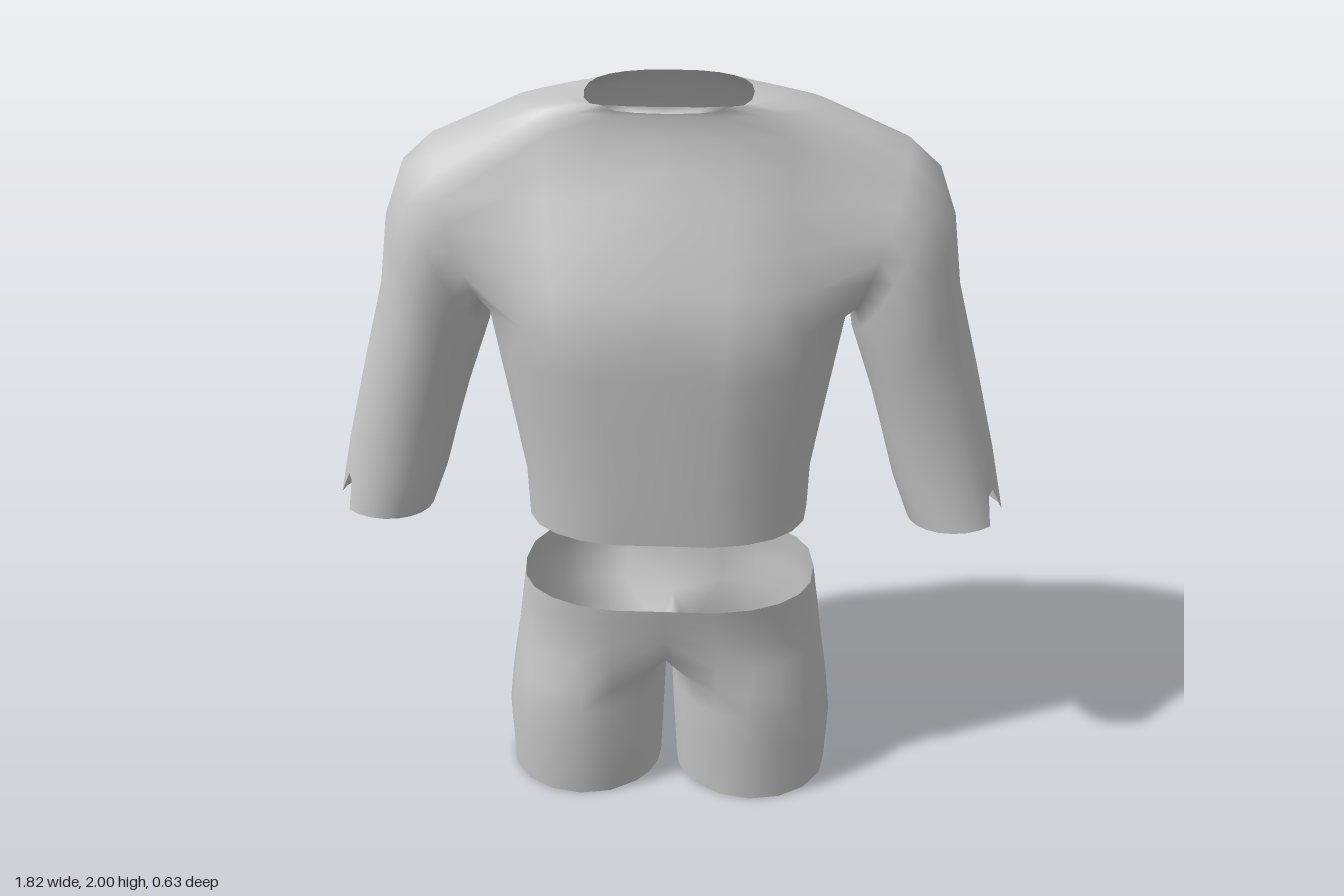
import * as THREE from 'three';
import { mergeGeometries, mergeVertices } from 'three/addons/utils/BufferGeometryUtils.js';

const SEG = 12; // columns of a half ring, from back centre round the side to front centre

// Collects points and joins rows of them with quads
function sheet() {
  const pos = [], idx = [];
  return {
    pos, idx,
    add(x, y, z) { pos.push(x, y, z); return pos.length / 3 - 1; },
    strip(lower, upper, closed = false, skip = () => false) {
      const n = lower.length;
      for (let j = 0; j < (closed ? n : n - 1); j++) {
        if (skip(j)) continue;
        const k = (j + 1) % n;
        idx.push(lower[j], upper[j], upper[k], lower[j], upper[k], lower[k]);
      }
    },
  };
}

// Mirrors the left half, welds both halves and smooths them
function mirrored(s) {
  const half = (sign) => {
    const g = new THREE.BufferGeometry();
    g.setAttribute('position', new THREE.Float32BufferAttribute(s.pos.map((v, i) => (i % 3 ? v : v * sign)), 3));
    g.setIndex(sign > 0 ? s.idx : [...s.idx].reverse());
    return g;
  };
  const g = mergeVertices(mergeGeometries([half(1), half(-1)]), 1e-4);
  g.computeVertexNormals();
  return g;
}

// Rounded-box half ring with grooves down the front and back centre
function halfRing(s, [y, w, front, back, frontGroove, backGroove]) {
  const soft = (v) => Math.sign(v) * Math.abs(v) ** 0.8;
  const ids = [];
  for (let j = 0; j <= SEG; j++) {
    const a = (j / SEG - 0.5) * Math.PI;
    const x = j % SEG ? w * soft(Math.cos(a)) : 0;
    const mid = (front + back) / 2, sn = soft(Math.sin(a));
    let z = mid + sn * (front - back) / 2;
    const dip = Math.exp(-((x / 0.1) ** 2));
    z -= dip * (sn > 0 ? frontGroove : -backGroove);
    ids.push(s.add(x, y, z));
  }
  return ids;
}

function shirtGeometry() {
  const s = sheet();
  // height, half width, front z, back z, front groove, back groove
  const rows = [
    [0.86, 0.38, 0.285, -0.24, 0.01, 0.0],
    [1.0, 0.385, 0.295, -0.255, 0.01, 0.02],
    [1.2, 0.42, 0.31, -0.285, 0.015, 0.03],
    [1.34, 0.445, 0.32, -0.3, 0.02, 0.035],
    [1.45, 0.465, 0.322, -0.31, 0.02, 0.04],
    [1.55, 0.485, 0.29, -0.32, 0.02, 0.04],
    [1.65, 0.51, 0.245, -0.325, 0.01, 0.04],
    [1.75, 0.53, 0.2, -0.31, 0, 0.03],
    [1.83, 0.53, 0.165, -0.285, 0, 0.02],
    [1.905, 0.5, 0.145, -0.245, 0, 0.01],
    [1.955, 0.39, 0.14, -0.215, 0, 0],
    [1.98, 0.28, 0.15, -0.195, 0, 0],
    [1.985, 0.21, 0.17, -0.18, 0, 0],
  ].map((r) => halfRing(s, r));
  // Neckline rises a little toward the back
  rows[12].forEach((id) => { s.pos[id * 3 + 1] = 1.984 - s.pos[id * 3 + 2] * 0.089; });

  // Body, leaving an armhole in the side
  const lo = 4, hi = 9, c0 = 3, c1 = 9;
  for (let i = 0; i < rows.length - 1; i++) {
    s.strip(rows[i], rows[i + 1], false, (j) => i >= lo && i < hi && j >= c0 && j < c1);
  }

  // Armhole edge, from the top round the front to the back
  let ring = [];
  for (let j = 6; j <= c1; j++) ring.push(rows[hi][j]);
  for (let i = hi - 1; i >= lo; i--) ring.push(rows[i][c1]);
  for (let j = c1 - 1; j >= c0; j--) ring.push(rows[lo][j]);
  for (let i = lo + 1; i <= hi; i++) ring.push(rows[i][c0]);
  for (let j = c0 + 1; j < 6; j++) ring.push(rows[hi][j]);

  // Sleeve: outer x, y, inner x, y, front z, back z
  const sleeve = [
    [0.6, 1.87, 0.472, 1.42, 0.165, -0.235],
    [0.68, 1.8, 0.48, 1.37, 0.175, -0.24],
    [0.725, 1.68, 0.505, 1.3, 0.18, -0.23],
    [0.75, 1.5, 0.54, 1.2, 0.165, -0.19],
    [0.81, 1.28, 0.57, 1.1, 0.15, -0.135],
    [0.87, 1.05, 0.61, 0.96, 0.145, -0.105],
    [0.91, 0.87, 0.655, 0.845, 0.16, -0.1],
  ];
  const n = ring.length;
  sleeve.forEach(([ox, oy, ix, iy, f, b], r) => {
    const next = ring.map((_, k) => {
      const a = (k / n) * Math.PI * 2, c = Math.cos(a);
      // Small notch in the outer edge of the cuff
      const notch = r === sleeve.length - 1 && (k === 1 || k === 2) ? 0.075 : 0;
      return s.add((ox + ix) / 2 + c * (ox - ix) / 2 - notch * 0.4,
        (oy + iy) / 2 + c * (oy - iy) / 2 + notch,
        (f + b) / 2 + Math.sin(a) * (f - b) / 2);
    });
    s.strip(next, ring, true);
    ring = next;
  });
  return mirrored(s);
}

function shortsGeometry() {
  const s = sheet();
  // Hips, from crotch level up to the waist
  const rows = [
    [0.44, 0.437, 0.238, -0.285, 0.06, 0.09],
    [0.52, 0.427, 0.24, -0.308, 0.03, 0.07],
    [0.58, 0.418, 0.245, -0.311, 0.015, 0.05],
    [0.64, 0.41, 0.255, -0.311, 0.01, 0.035],
  ].map((r) => halfRing(s, r));
  for (let i = 0; i < rows.length - 1; i++) s.strip(rows[i], rows[i + 1]);

  // Crotch saddle closes the half ring into a leg ring
  const inner = 6;
  let ring = [...rows[0]];
  for (let k = 1; k < inner; k++) {
    const t = k / inner;
    ring.push(s.add(0, 0.44 - 0.04 * Math.sin(t * Math.PI), THREE.MathUtils.lerp(0.178, -0.195, t)));
  }

  // Legs: height, inner x, outer x, front z, back z
  for (const [y, x0, x1, f, b] of [
    [0.36, 0.008, 0.45, 0.234, -0.255],
    [0.29, 0.01, 0.46, 0.233, -0.24],
    [0.18, 0.015, 0.472, 0.235, -0.228],
    [0, 0.024, 0.465, 0.22, -0.215],
  ]) {
    const next = ring.map((_, k) => {
      const deg = k <= SEG ? -135 + (270 * k) / SEG : 135 + (90 * (k - SEG)) / inner;
      const a = THREE.MathUtils.degToRad(deg);
      return s.add((x0 + x1) / 2 + Math.cos(a) * (x1 - x0) / 2, y, (f + b) / 2 + Math.sin(a) * (f - b) / 2);
    });
    s.strip(next, ring, true);
    ring = next;
  }
  return mirrored(s);
}

export function createModel() {
  const cloth = new THREE.MeshStandardMaterial({ color: 0xc4c4c4, side: THREE.DoubleSide });
  cloth.name = 'grey cloth';
  const model = new THREE.Group();
  model.name = 'outfit';
  for (const [name, geometry] of [['shirt', shirtGeometry()], ['shorts', shortsGeometry()]]) {
    const mesh = new THREE.Mesh(geometry, cloth);
    mesh.name = name;
    model.add(mesh);
  }
  return model;
}
